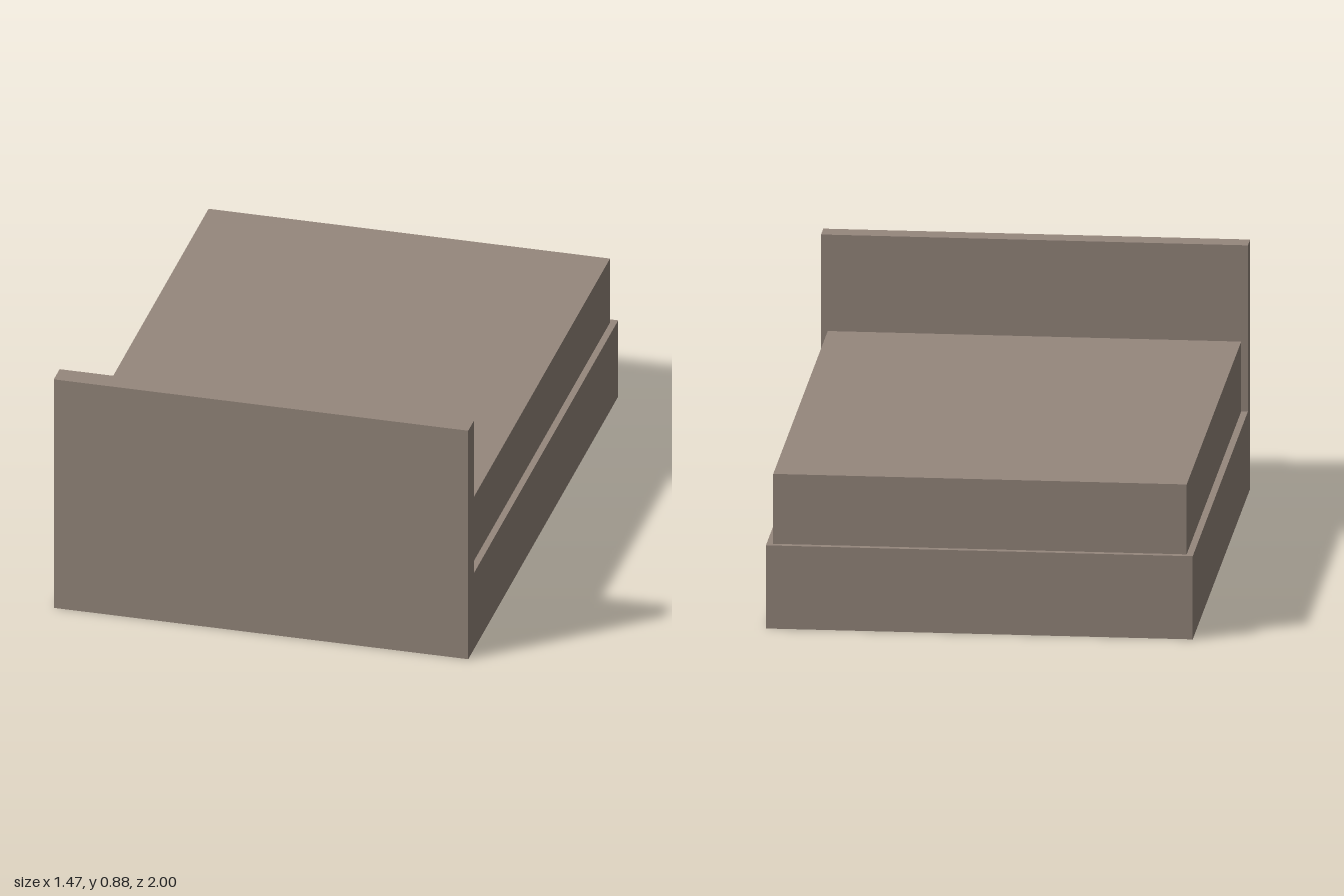
import * as THREE from 'three';

export function createModel() {
  const group = new THREE.Group();
  group.name = 'bed';
  const taupe = new THREE.MeshStandardMaterial({ name: 'taupe', color: 0x96887d });

  const width = 1.47, baseTop = 0.295, boardTop = 0.885, boardZ = 0.922;

  // Bed base and headboard: one L-shaped side profile (z, y) extruded across the width
  const profile = new THREE.Shape([
    [-1, 0], [1, 0], [1, boardTop], [boardZ, boardTop], [boardZ, baseTop], [-1, baseTop],
  ].map(([z, y]) => new THREE.Vector2(z, y)));
  const frameGeometry = new THREE.ExtrudeGeometry(profile, { depth: width, bevelEnabled: false });
  frameGeometry.translate(0, 0, -width / 2).rotateY(-Math.PI / 2);
  const frame = new THREE.Mesh(frameGeometry, taupe);
  frame.name = 'baseAndHeadboard';
  group.add(frame);

  // Mattress: inset at the sides and foot, touching the headboard
  const foot = -0.977, mattressTop = 0.543;
  const mattress = new THREE.Mesh(
    new THREE.BoxGeometry(1.424, mattressTop - baseTop, boardZ - foot), taupe);
  mattress.position.set(0, (mattressTop + baseTop) / 2, (boardZ + foot) / 2);
  mattress.name = 'mattress';
  group.add(mattress);

  return group;
}
